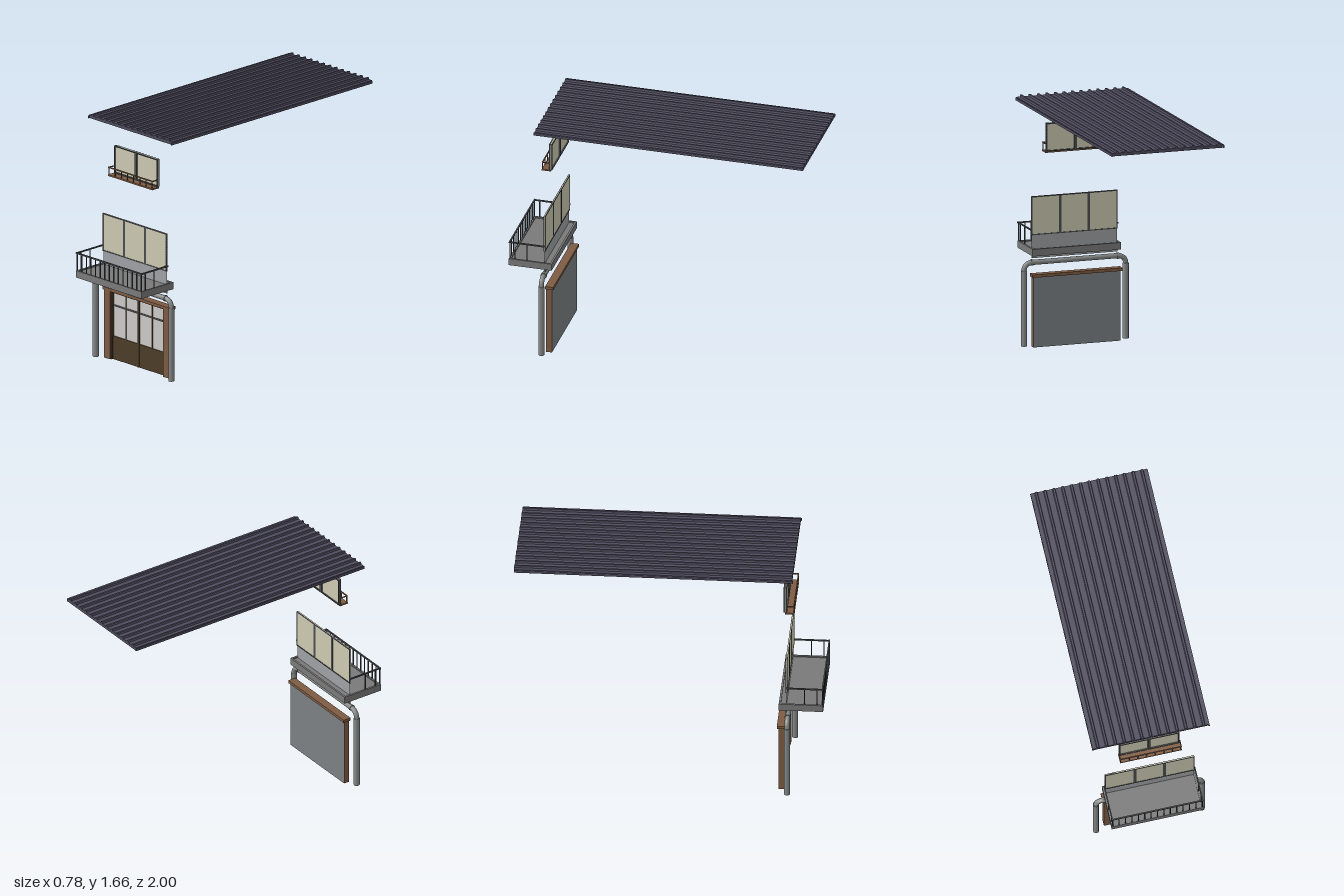
import * as THREE from 'three';

const mat = (name, color, side = THREE.FrontSide) => {
  const m = new THREE.MeshStandardMaterial({ color, side });
  m.name = name;
  return m;
};

export function createModel() {
  const root = new THREE.Group();
  root.name = 'shopFacade';
  const M = {
    roof: mat('slate purple', 0x4f4c5e),
    pane: mat('cream pane', 0xcdcab2),
    glass: mat('pale glass', 0xcecaca),
    frame: mat('dark frame', 0x4a4d50),
    pipe: mat('pipe grey', 0x868a89),
    concrete: mat('concrete grey', 0x7a7a7a),
    wall: mat('wall grey', 0xa0a2a5, THREE.DoubleSide),
    wood: mat('brown wood', 0x7e5c43),
    dark: mat('dark wood', 0x4c3d28),
    backing: mat('backing grey', 0x7c8184, THREE.DoubleSide),
  };

  const group = (name) => {
    const g = new THREE.Group();
    g.name = name;
    root.add(g);
    return g;
  };
  const add = (parent, name, geo, material) => {
    const m = new THREE.Mesh(geo, material);
    m.name = name;
    parent.add(m);
    return m;
  };
  // Box given by its lowest and highest corner
  const box = (parent, name, material, x0, x1, y0, y1, z0, z1) =>
    add(parent, name, new THREE.BoxGeometry(x1 - x0, y1 - y0, z1 - z0), material)
      .position.set((x0 + x1) / 2, (y0 + y1) / 2, (z0 + z1) / 2);

  // Roof sheet with raised ribs
  const roof = group('roof');
  const s = new THREE.Shape();
  s.moveTo(-0.385, 1.628);
  s.lineTo(0.385, 1.628);
  s.lineTo(0.385, 1.648);
  for (let i = 6; i >= -6; i--) {
    const x = i * 0.0585;
    s.lineTo(x + 0.01, 1.648);
    s.lineTo(x + 0.006, 1.66);
    s.lineTo(x - 0.006, 1.66);
    s.lineTo(x - 0.01, 1.648);
  }
  s.lineTo(-0.385, 1.648);
  s.closePath();
  const sheet = new THREE.ExtrudeGeometry(s, { depth: 1.805, bevelEnabled: false });
  add(roof, 'ribbedSheet', sheet, M.roof).position.z = -1;
  for (const k of [-1, 1]) {
    box(roof, 'edgeTrim', M.roof, k * 0.385 - 0.004, k * 0.385 + 0.004, 1.626, 1.643, -1, 0.81);
  }

  // Framed window split into equal panes
  const window = (name, w, y0, y1, z0, z1, count) => {
    const g = group(name);
    const t = 0.007;
    const zc = (z0 + z1) / 2;
    box(g, 'pane', M.pane, -w, w, y0, y1, zc - 0.003, zc + 0.003);
    for (const y of [y0, y1 - t]) box(g, 'rail', M.frame, -w, w, y, y + t, z0, z1);
    for (let i = 0; i <= count; i++) {
      const edge = i === 0 || i === count;
      const h = edge ? t / 2 : 0.009;
      const x = -w + t / 2 + ((2 * w - t) * i) / count;
      box(g, 'stile', M.frame, x - h, x + h, y0, y1, z0, z1);
    }
    return g;
  };
  window('upperWindow', 0.2, 1.285, 1.472, 0.736, 0.758, 2);
  window('middleWindow', 0.297, 0.733, 0.99, 0.757, 0.768, 3);

  // Small wooden window ledge with a low railing
  const ledge = group('windowLedge');
  box(ledge, 'shelf', M.wood, -0.205, 0.205, 1.275, 1.285, 0.745, 0.807);
  box(ledge, 'frontRail', M.wood, -0.205, 0.205, 1.33, 1.337, 0.799, 0.806);
  for (let i = 0; i < 8; i++) {
    const x = -0.2 + (0.4 * i) / 7;
    box(ledge, 'post', M.wood, x - 0.0025, x + 0.0025, 1.285, 1.332, 0.8, 0.805);
  }
  for (const k of [-1, 1]) {
    box(ledge, 'sideRail', M.wood, k * 0.202 - 0.003, k * 0.202 + 0.003, 1.33, 1.336, 0.757, 0.803);
  }

  // Wall strip under the middle window
  const strip = add(group('wallStrip'), 'wallPanel', new THREE.PlaneGeometry(0.59, 0.15), M.wall);
  strip.position.set(0, 0.658, 0.762);

  // Balcony tray
  const balcony = group('balcony');
  box(balcony, 'floor', M.concrete, -0.295, 0.295, 0.605, 0.642, 0.72, 0.99);
  for (const k of [-1, 1]) {
    box(balcony, 'sideRim', M.concrete, k * 0.2985 - 0.0065, k * 0.2985 + 0.0065, 0.603, 0.65, 0.712, 1);
  }
  box(balcony, 'frontRim', M.concrete, -0.305, 0.305, 0.603, 0.65, 0.987, 1);
  box(balcony, 'backRim', M.concrete, -0.305, 0.305, 0.603, 0.65, 0.712, 0.725);
  box(balcony, 'lowerLip', M.wall, -0.295, 0.295, 0.582, 0.604, 0.757, 0.763);

  // Balcony railing
  const railing = group('balconyRailing');
  box(railing, 'frontRail', M.frame, -0.307, 0.307, 0.765, 0.774, 0.991, 1);
  for (let i = 0; i < 15; i++) {
    const x = -0.297 + (0.594 * i) / 14;
    box(railing, 'frontBar', M.frame, x - 0.003, x + 0.003, 0.648, 0.768, 0.992, 0.998);
  }
  for (const k of [-1, 1]) {
    box(railing, 'sideRail', M.frame, k * 0.3 - 0.004, k * 0.3 + 0.004, 0.765, 0.774, 0.757, 0.995);
    for (const z of [0.88, 0.96]) {
      box(railing, 'sideBar', M.frame, k * 0.298 - 0.003, k * 0.298 + 0.003, 0.648, 0.768, z - 0.003, z + 0.003);
    }
  }

  // Drain pipe arching over the door
  const pipe = group('drainPipe');
  const px = -0.006, pz = 0.77;
  const v = (x, y) => new THREE.Vector3(px + x, y, pz);
  for (const k of [-1, 1]) {
    add(pipe, 'leg', new THREE.CylinderGeometry(0.02, 0.02, 0.5, 10), M.pipe)
      .position.set(px + k * 0.351, 0.25, pz);
    const bend = new THREE.CubicBezierCurve3(
      v(k * 0.351, 0.495), v(k * 0.351, 0.53), v(k * 0.33, 0.551), v(k * 0.29, 0.551));
    add(pipe, 'bend', new THREE.TubeGeometry(bend, 8, 0.017, 10), M.pipe);
    const collar = add(pipe, 'collar', new THREE.CylinderGeometry(0.021, 0.021, 0.012, 10), M.pipe);
    collar.rotation.z = Math.PI / 2;
    collar.position.set(px + k * 0.295, 0.551, pz);
  }
  const run = add(pipe, 'crossPipe', new THREE.CylinderGeometry(0.017, 0.017, 0.59, 10), M.pipe);
  run.rotation.z = Math.PI / 2;
  run.position.set(px, 0.551, pz);

  // Door surround
  const surround = group('doorSurround');
  for (const k of [-1, 1]) {
    box(surround, 'pillar', M.wood, k * 0.273 - 0.027, k * 0.273 + 0.027, 0, 0.466, 0.712, 0.75);
    box(surround, 'jamb', M.dark, k * 0.242 - 0.005, k * 0.242 + 0.005, 0, 0.466, 0.714, 0.742);
  }
  box(surround, 'lintel', M.wood, -0.31, 0.31, 0.464, 0.484, 0.7, 0.754);
  add(surround, 'backPanel', new THREE.PlaneGeometry(0.598, 0.465), M.backing).position.set(0, 0.2325, 0.711);

  // Double doors: solid lower panels and glazed tops
  const doors = group('doors');
  box(doors, 'glazing', M.glass, -0.238, 0.238, 0.158, 0.456, 0.715, 0.724);
  box(doors, 'topRail', M.dark, -0.24, 0.24, 0.454, 0.465, 0.714, 0.736);
  for (const k of [-1, 1]) {
    box(doors, 'lowerPanel', M.dark, k * 0.12 - 0.118, k * 0.12 + 0.118, 0, 0.158, 0.714, 0.73);
    box(doors, 'glazingBar', M.dark, k * 0.122 - 0.003, k * 0.122 + 0.003, 0.158, 0.456, 0.72, 0.728);
  }
  box(doors, 'meetingStile', M.dark, -0.006, 0.006, 0, 0.456, 0.714, 0.734);
  for (const y of [0.364, 0.371]) {
    box(doors, 'crossBar', M.frame, -0.238, 0.238, y - 0.0012, y + 0.0012, 0.722, 0.729);
  }
  return root;
}
